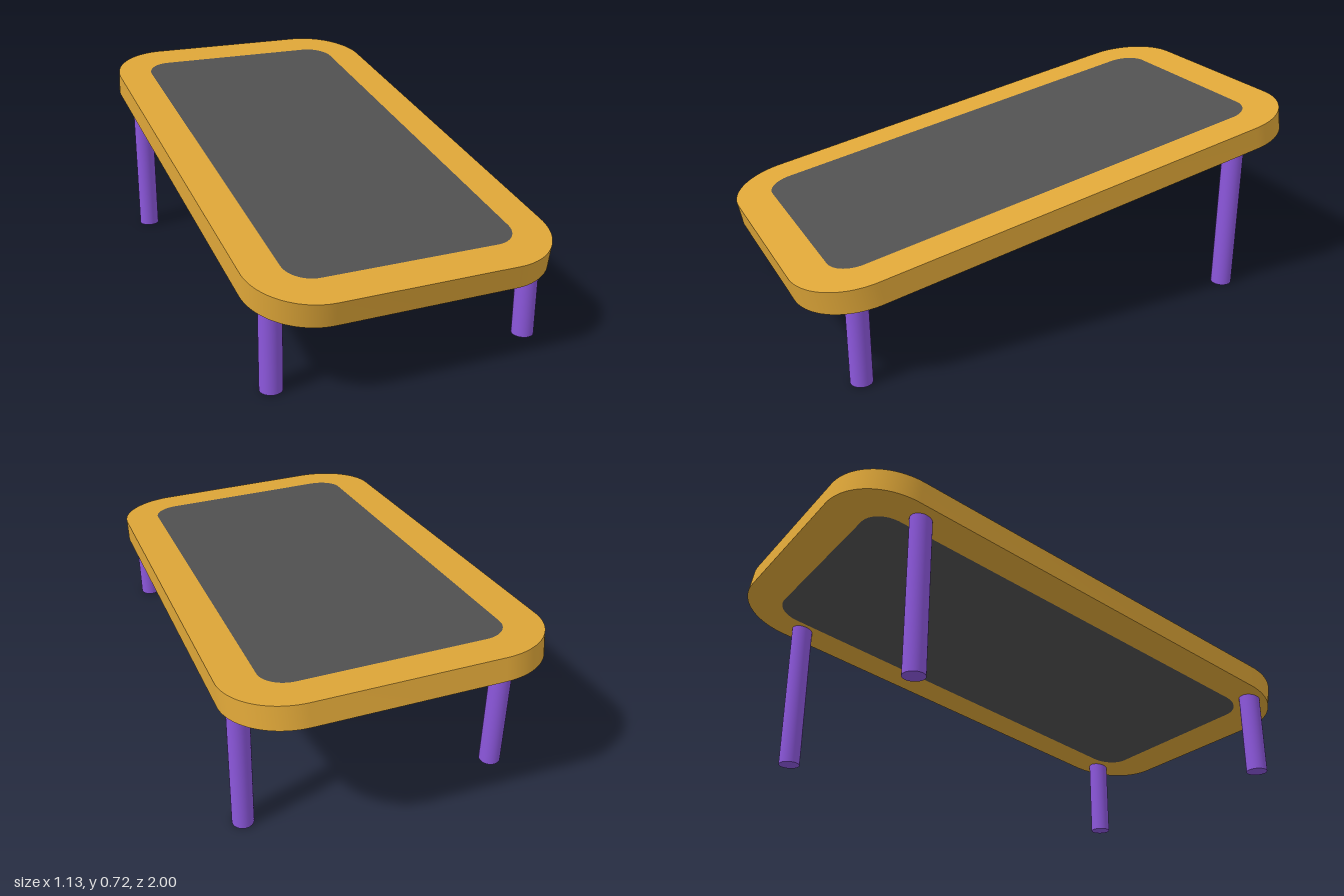
import * as THREE from 'three';
import { toCreasedNormals } from 'three/addons/utils/BufferGeometryUtils.js';

const TILT = THREE.MathUtils.degToRad(10);
const CENTRE_Y = 0.499;
const THICKNESS = 0.0875;

// Trace a rounded rectangle, centred on the origin, onto a Shape or Path
function roundedRect(path, width, length, r) {
  const x = width / 2, y = length / 2;
  path.moveTo(x, -y + r);
  path.lineTo(x, y - r);
  path.absarc(x - r, y - r, r, 0, Math.PI / 2);
  path.lineTo(-x + r, y);
  path.absarc(-x + r, y - r, r, Math.PI / 2, Math.PI);
  path.lineTo(-x, -y + r);
  path.absarc(-x + r, -y + r, r, Math.PI, Math.PI * 1.5);
  path.lineTo(x - r, -y);
  path.absarc(x - r, -y + r, r, Math.PI * 1.5, Math.PI * 2);
  return path;
}

// Extrude a shape into a horizontal slab centred on y = 0
function slab(shape, material, name) {
  const geometry = new THREE.ExtrudeGeometry(shape, {
    depth: THICKNESS, bevelEnabled: false, curveSegments: 16,
  });
  geometry.translate(0, 0, -THICKNESS / 2);
  geometry.rotateX(-Math.PI / 2);
  const mesh = new THREE.Mesh(toCreasedNormals(geometry, 0.6), material);
  mesh.name = name;
  return mesh;
}

export function createModel() {
  const model = new THREE.Group();
  model.name = 'slopedTrampoline';

  const frameMaterial = new THREE.MeshStandardMaterial({ color: 0xdea638 });
  frameMaterial.name = 'golden frame';
  const bedMaterial = new THREE.MeshStandardMaterial({ color: 0x505050 });
  bedMaterial.name = 'dark grey bed';
  const legMaterial = new THREE.MeshStandardMaterial({ color: 0x8c57dc });
  legMaterial.name = 'purple legs';

  // Tilted top: rounded frame with the bed set flush in its opening
  const top = new THREE.Group();
  top.name = 'top';
  const frameShape = roundedRect(new THREE.Shape(), 1.13, 2.015, 0.237);
  frameShape.holes.push(roundedRect(new THREE.Path(), 0.855, 1.74, 0.1));
  const bedShape = roundedRect(new THREE.Shape(), 0.855, 1.74, 0.1);
  top.add(slab(frameShape, frameMaterial, 'frame'), slab(bedShape, bedMaterial, 'bed'));
  top.rotation.x = TILT;
  top.position.y = CENTRE_Y;
  model.add(top);

  // Upright legs, each ending inside the sloping frame
  for (const [end, z] of [['front', 0.82], ['back', -0.717]]) {
    for (const [side, x] of [['Left', 0.485], ['Right', -0.485]]) {
      const height = CENTRE_Y - z * Math.tan(TILT);
      const leg = new THREE.Mesh(new THREE.CylinderGeometry(0.04, 0.04, height, 32), legMaterial);
      leg.name = `${end}${side}Leg`;
      leg.position.set(x, height / 2, z);
      model.add(leg);
    }
  }
  return model;
}
